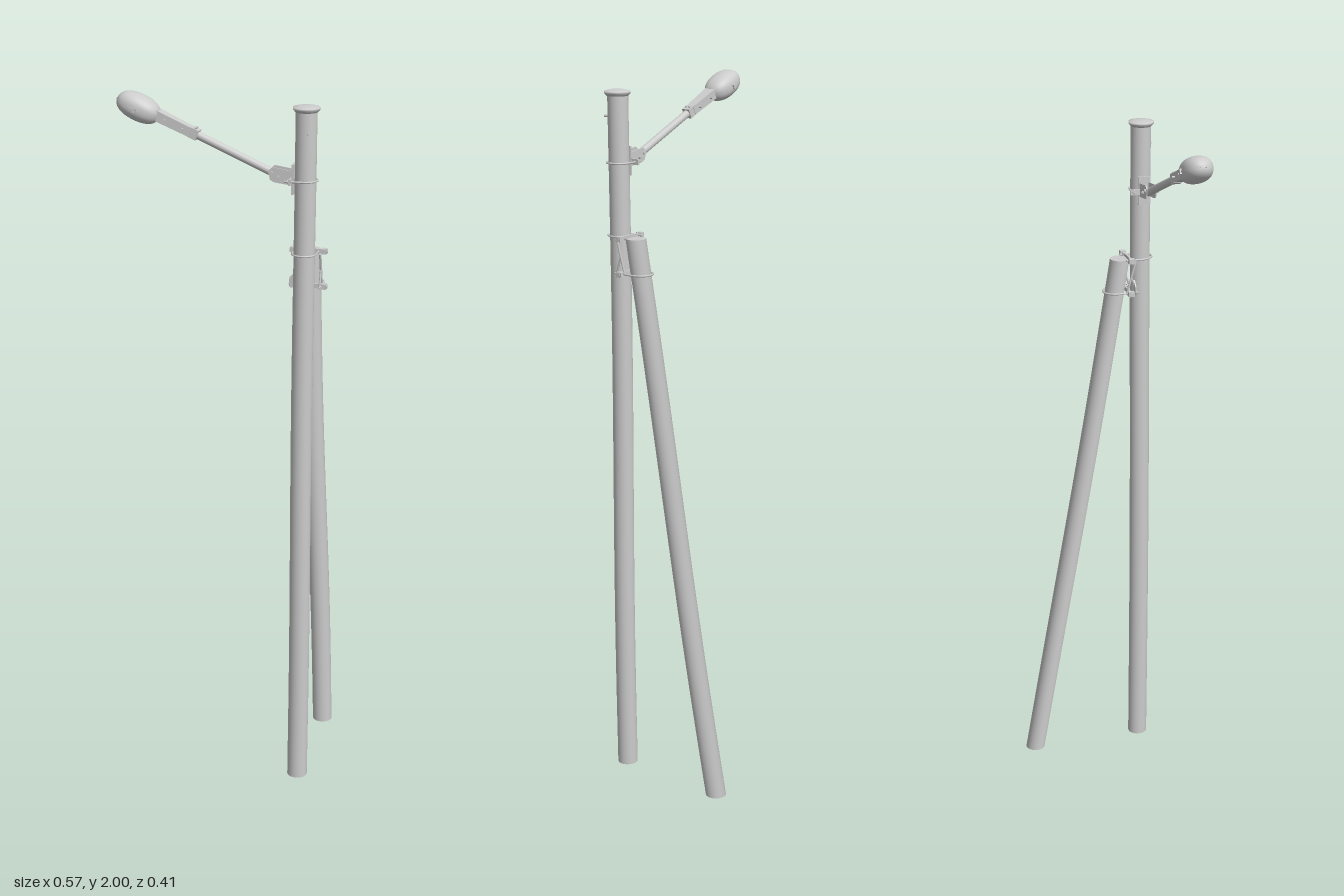
import * as THREE from 'three';
import { mergeVertices } from 'three/addons/utils/BufferGeometryUtils.js';

const mat = new THREE.MeshStandardMaterial({ color: 0xcccccc });
const V = (x, y, z) => new THREE.Vector3(x, y, z);
const PX = 0.229, PZ = 0.162, R = 0.029; // main pole axis and radius
const BX = 0.233;                        // brace axis in x
const braceZ = (y) => -0.177 + 0.175 * y;

function add(parent, name, geo, x = 0, y = 0, z = 0) {
  const m = new THREE.Mesh(geo, mat);
  m.name = name;
  m.position.set(x, y, z);
  parent.add(m);
  return m;
}
const box = (parent, name, w, h, d, x, y, z) => add(parent, name, new THREE.BoxGeometry(w, h, d), x, y, z);

// straight round bar between two points
function rod(parent, name, a, b, r, sides = 10, rEnd = r) {
  const d = b.clone().sub(a);
  const m = add(parent, name, new THREE.CylinderGeometry(rEnd, r, d.length(), sides));
  m.position.copy(a).addScaledVector(d, 0.5);
  m.quaternion.setFromUnitVectors(V(0, 1, 0), d.normalize());
  return m;
}

// pole whose horizontal rings follow a centre line
function pole(parent, name, height, centre) {
  const g = new THREE.CylinderGeometry(R * 0.98, R, height, 24, 24);
  g.translate(0, height / 2, 0);
  const p = g.attributes.position;
  for (let i = 0; i < p.count; i++) {
    const [cx, cz] = centre(p.getY(i));
    p.setX(i, p.getX(i) + cx);
    p.setZ(i, p.getZ(i) + cz);
  }
  return add(parent, name, g);
}

// U-shaped bolt lying flat: bend around the origin, legs along +x
function uBolt(parent, name, r, leg, thick) {
  const pts = [V(leg, 0, r)];
  for (let i = 0; i <= 12; i++) {
    const a = Math.PI / 2 + (Math.PI * i) / 12;
    pts.push(V(Math.cos(a) * r, 0, Math.sin(a) * r));
  }
  pts.push(V(leg, 0, -r));
  const g = add(parent, name, new THREE.TubeGeometry(new THREE.CatmullRomCurve3(pts), 48, thick, 6));
  for (const s of [-1, 1]) {
    rod(g, 'nut', V(leg - 0.012, 0, s * r), V(leg - 0.006, 0, s * r), 0.006, 6);
    rod(g, 'boltEnd', V(leg - 0.002, 0, s * r), V(leg + 0.003, 0, s * r), thick, 6);
  }
  return g;
}

export function createModel() {
  const model = new THREE.Group();
  model.name = 'streetLamp';

  // poles with a slight natural waver
  pole(model, 'mainPole', 1.978, (y) => [PX + 0.0015 * Math.sin(y * 4), PZ + 0.002 * Math.sin(y * 3)]);
  pole(model, 'bracePole', 1.588, (y) => [BX + 0.003 * Math.sin(y * 4), braceZ(y) + 0.004 * Math.sin((y / 1.588) * Math.PI)]);

  // flared pole cap
  add(model, 'poleCap', new THREE.LatheGeometry(
    [[0, -0.012], [0.03, -0.012], [0.036, -0.005], [0.036, 0], [0.02, 0.004], [0, 0.005]]
      .map(([x, y]) => new THREE.Vector2(x, y)), 28), PX + 0.002, 1.982, PZ);
  rod(model, 'poleStud', V(PX + 0.012, 1.915, PZ + 0.02), V(PX + 0.017, 1.915, PZ + 0.034), 0.004, 6);

  // lamp arm clamp on the pole
  const armClamp = new THREE.Group();
  armClamp.name = 'armClamp';
  model.add(armClamp);
  const armBolt = uBolt(armClamp, 'armUBolt', 0.033, 0.046, 0.0028);
  armBolt.position.set(PX, 1.79, PZ);
  armBolt.rotation.y = Math.PI;
  box(armClamp, 'backPlate', 0.006, 0.08, 0.036, 0.199, 1.792, PZ);
  box(armClamp, 'clampBar', 0.005, 0.016, 0.085, 0.196, 1.79, PZ);
  for (const s of [-1, 1]) {
    const cheek = new THREE.Shape([[0.2, 1.776], [0.2, 1.814], [0.145, 1.822], [0.132, 1.812], [0.138, 1.788], [0.15, 1.782]]
      .map(([x, y]) => new THREE.Vector2(x, y)));
    add(armClamp, 'cheekPlate', new THREE.ExtrudeGeometry(cheek, { depth: 0.003, bevelEnabled: false }),
      0, 0, PZ - 0.0015 + s * 0.0135);
    for (const [x, y] of [[0.16, 1.797], [0.142, 1.807]])
      rod(armClamp, 'cheekNut', V(x, y, PZ + s * 0.014), V(x, y, PZ + s * 0.02), 0.005, 6);
  }
  rod(armClamp, 'pivotBolt', V(0.16, 1.797, PZ - 0.022), V(0.16, 1.797, PZ + 0.022), 0.0025, 8);

  // sloping arm and lamp head; local -x runs outward along the arm
  const arm = new THREE.Group();
  arm.name = 'lampArm';
  arm.position.set(0.15, 1.801, PZ - 0.001);
  arm.rotation.z = -0.41;
  model.add(arm);
  rod(arm, 'armTube', V(0.012, 0, 0), V(-0.27, 0, 0), 0.0108, 16);

  // tapered neck with its clamp and bolts
  const neck = new THREE.BoxGeometry(0.12, 0.028, 0.036);
  const np = neck.attributes.position;
  for (let i = 0; i < np.count; i++) if (np.getX(i) > 0) {
    np.setZ(i, np.getZ(i) * 0.75);
    np.setY(i, np.getY(i) * 0.9);
  }
  neck.computeVertexNormals();
  add(arm, 'lampNeck', neck, -0.31, 0, 0);
  box(arm, 'neckClamp', 0.024, 0.028, 0.025, -0.242, 0, 0);
  for (const x of [-0.325, -0.273])
    rod(arm, 'neckBolt', V(x, 0, -0.023), V(x, 0, 0.023), 0.003, 8);
  for (const s of [-1, 1])
    rod(arm, 'neckScrew', V(-0.242, 0.012, s * 0.006), V(-0.242, 0.018, s * 0.006), 0.0035, 6);

  // rounded lamp shell, fuller than an ellipsoid, with a seam around it
  const head = new THREE.Group();
  head.name = 'lampHead';
  head.position.set(-0.405, -0.005, 0);
  arm.add(head);
  let shell = new THREE.SphereGeometry(1, 36, 24);
  const sp = shell.attributes.position;
  const full = (v) => Math.sign(v) * Math.abs(v) ** 0.88;
  for (let i = 0; i < sp.count; i++) {
    const y = sp.getY(i);
    sp.setXYZ(i, full(sp.getX(i)) * 0.062, full(y) * (y > 0 ? 0.036 : 0.034), full(sp.getZ(i)) * 0.041);
  }
  shell.deleteAttribute('normal');
  shell.deleteAttribute('uv');
  shell = mergeVertices(shell, 1e-5);
  shell.computeVertexNormals();
  add(head, 'lampShell', shell);
  const seam = add(head, 'lampSeam', new THREE.CylinderGeometry(1, 1, 0.005, 40));
  seam.scale.set(0.0635, 1, 0.0425);
  for (const s of [-1, 1]) box(head, 'lampLatch', 0.008, 0.014, 0.005, 0, 0, s * 0.043);

  // upper U-bolt round the main pole, lower one round the brace
  const joint = new THREE.Group();
  joint.name = 'braceJoint';
  model.add(joint);
  const upper = uBolt(joint, 'upperUBolt', 0.032, 0.05, 0.0028);
  upper.position.set(PX, 1.59, PZ);
  upper.rotation.y = Math.PI / 2;
  const lower = uBolt(joint, 'lowerUBolt', 0.034, 0.06, 0.0028);
  lower.position.set(BX, 1.492, braceZ(1.492) + 0.001);
  lower.rotation.y = -Math.PI / 2;

  // cross bars, bolt heads and diagonal links
  for (const [y, z] of [[1.59, 0.123], [1.492, 0.122]]) {
    box(joint, 'crossBar', 0.086, 0.012, 0.006, BX, y, z);
    for (const s of [-1, 1]) {
      box(joint, 'barEnd', 0.014, 0.014, 0.017, BX + s * 0.043, y, z);
      rod(joint, 'endNut', V(BX + s * 0.046, y, z), V(BX + s * 0.052, y, z), 0.006, 6);
    }
  }
  for (const s of [-1, 1]) {
    rod(joint, 'link', V(BX + s * 0.035, 1.585, 0.138), V(BX + s * 0.035, 1.492, 0.112), 0.0035, 6);
    rod(joint, 'lowerLink', V(BX + s * 0.035, 1.54, 0.125), V(BX + s * 0.035, 1.49, 0.142), 0.003, 6);
  }
  const lug = new THREE.Shape([[0.2, 1.485], [0.2, 1.53], [0.184, 1.515], [0.182, 1.495]]
    .map(([x, y]) => new THREE.Vector2(x, y)));
  add(joint, 'sideLug', new THREE.ExtrudeGeometry(lug, { depth: 0.004, bevelEnabled: false }), 0, 0, 0.132);
  return model;
}
